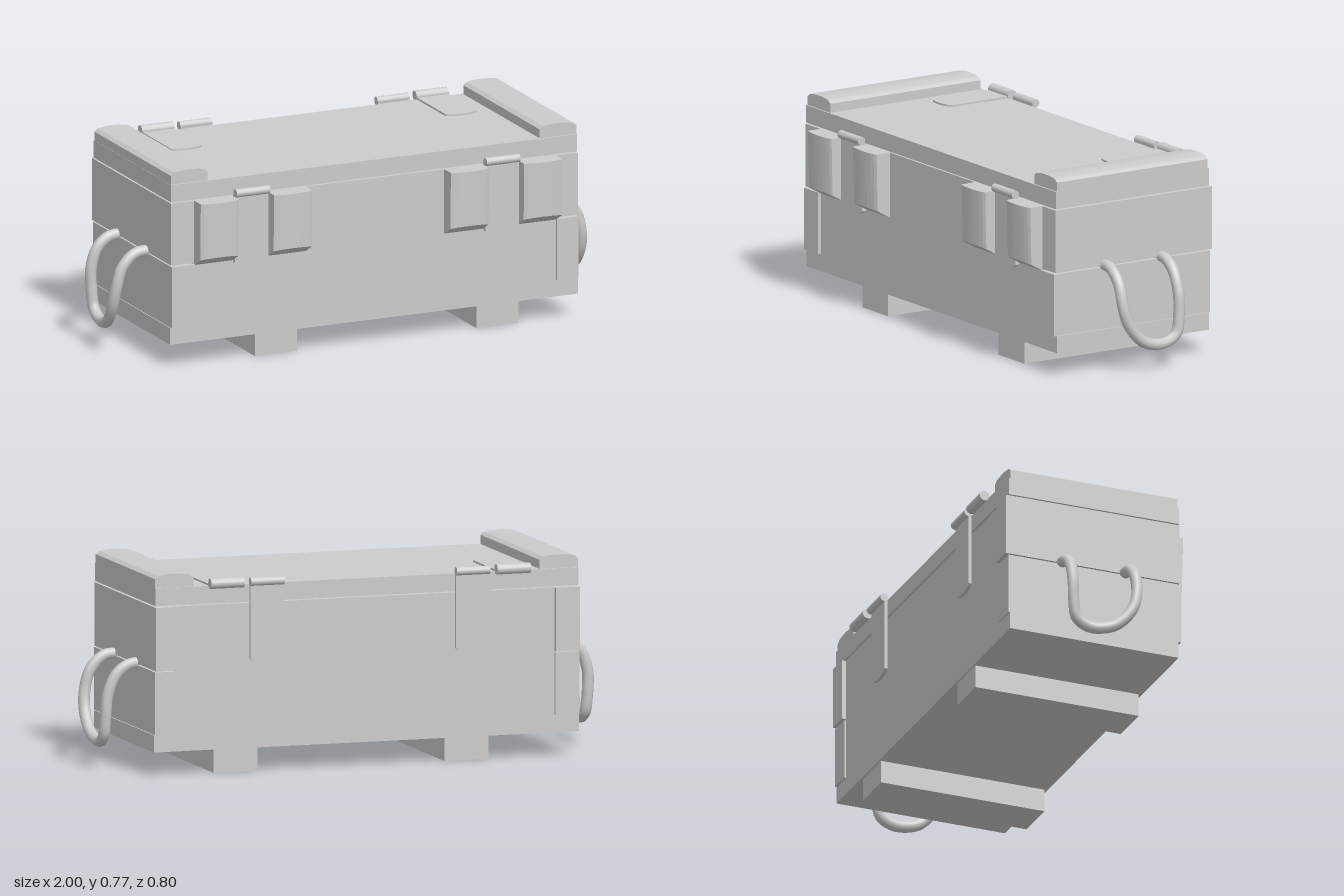
import * as THREE from 'three';

const material = new THREE.MeshStandardMaterial({ color: 0xcccccc });

function add(parent, name, geometry) {
  const mesh = new THREE.Mesh(geometry, material);
  mesh.name = name;
  parent.add(mesh);
  return mesh;
}

// Box given by its limits on each axis
function box(parent, name, [x0, x1], [y0, y1], [z0, z1]) {
  const geometry = new THREE.BoxGeometry(x1 - x0, y1 - y0, z1 - z0);
  geometry.translate((x0 + x1) / 2, (y0 + y1) / 2, (z0 + z1) / 2);
  return add(parent, name, geometry);
}

// Cylinder lying along x
function rod(parent, name, x0, x1, y, z, radius) {
  const geometry = new THREE.CylinderGeometry(radius, radius, x1 - x0, 16);
  geometry.rotateZ(Math.PI / 2);
  geometry.translate((x0 + x1) / 2, y, z);
  return add(parent, name, geometry);
}

// Thin strap hanging down from y = 0, with a gently rounded lower end
function strapGeometry(width, length, thickness) {
  const w = width / 2, r = 0.025;
  const shape = new THREE.Shape();
  shape.moveTo(-w, 0);
  shape.lineTo(-w, -length + r);
  shape.bezierCurveTo(-w * 0.7, -length, w * 0.7, -length, w, -length + r);
  shape.lineTo(w, 0);
  return new THREE.ExtrudeGeometry(shape, { depth: thickness, bevelEnabled: false, curveSegments: 8 });
}

// Latch guard: bowed front face, chamfered underneath, slightly tapered
function guardGeometry(width) {
  const w = width / 2, height = 0.253;
  const shape = new THREE.Shape();
  shape.moveTo(-w, 0);
  shape.lineTo(w, 0);
  shape.lineTo(w, 0.06);
  shape.bezierCurveTo(w * 0.7, 0.077, -w * 0.7, 0.077, -w, 0.06);
  const geometry = new THREE.ExtrudeGeometry(shape, { depth: height, bevelEnabled: false, curveSegments: 8 });
  geometry.rotateX(Math.PI / 2);
  const p = geometry.attributes.position;
  for (let i = 0; i < p.count; i++) {
    if (p.getY(i) < -height / 2) {
      const z = p.getZ(i);
      p.setXYZ(i, p.getX(i), p.getY(i) + z * 0.52, z * 0.92);
    }
  }
  geometry.computeVertexNormals();
  return geometry;
}

function createLatch(x) {
  const latch = new THREE.Group();
  latch.name = 'latch';
  for (const s of [-1, 1]) {
    add(latch, 'latchGuard', guardGeometry(0.16)).position.set(s * 0.153, 0.645, 0.328);
  }
  add(latch, 'latchStrap', strapGeometry(0.14, 0.3, 0.018)).position.set(0, 0.66, 0.328);
  rod(latch, 'latchPin', -0.07, 0.07, 0.659, 0.347, 0.016);
  latch.position.x = x;
  return latch;
}

// Hinge with one leaf on the lid and one down the back; side is +1 or -1
function createHinge(side) {
  const hinge = new THREE.Group();
  hinge.name = 'hinge';
  const outer = side * 0.573, inner = side * 0.412;
  rod(hinge, 'outerKnuckle', outer - 0.067, outer + 0.067, 0.728, -0.382, 0.02);
  rod(hinge, 'innerKnuckle', inner - 0.067, inner + 0.067, 0.728, -0.382, 0.016);
  const lidLeaf = add(hinge, 'lidLeaf', strapGeometry(0.13, 0.29, 0.01));
  lidLeaf.rotation.x = -Math.PI / 2;
  lidLeaf.position.set(outer, 0.715, -0.375);
  const backLeaf = add(hinge, 'backLeaf', strapGeometry(0.13, 0.32, 0.012));
  backLeaf.position.set(inner, 0.728, -0.379);
  hinge.position.x = -0.003;
  return hinge;
}

// Drooping carrying loop; side is +1 or -1, lean swings its rear leg inward
function createHandle(side, lean) {
  const points = [
    [0.83, 0.405, 0.108], [0.89, 0.4, 0.108], [0.945, 0.35, 0.108], [0.97, 0.27, 0.106],
    [0.977, 0.2, 0.088], [0.977, 0.14, 0.045], [0.974, 0.11, 0], [0.973, 0.1, -0.08],
    [0.975, 0.13, -0.133], [0.974, 0.2, -0.147], [0.965, 0.29, -0.15], [0.93, 0.365, -0.15],
    [0.88, 0.4, -0.15], [0.83, 0.405, -0.15],
  ].map(([x, y, z]) => new THREE.Vector3(side * (x - lean * (0.11 - z) * (0.405 - y)), y, z));
  return new THREE.TubeGeometry(new THREE.CatmullRomCurve3(points), 56, 0.022, 10);
}

// Crowned batten across one end of the lid
function battenGeometry() {
  const shape = new THREE.Shape();
  shape.moveTo(-0.077, 0);
  shape.lineTo(0.077, 0);
  shape.lineTo(0.077, 0.037);
  shape.lineTo(0.062, 0.048);
  shape.quadraticCurveTo(0, 0.06, -0.062, 0.048);
  shape.lineTo(-0.077, 0.037);
  const geometry = new THREE.ExtrudeGeometry(shape, { depth: 0.685, bevelEnabled: false, curveSegments: 6 });
  geometry.translate(0, 0, -0.36);
  return geometry;
}

export function createModel() {
  const crate = new THREE.Group();
  crate.name = 'crate';

  // Box body and lid
  box(crate, 'base', [-0.848, 0.855], [0.09, 0.156], [-0.363, 0.328]);
  box(crate, 'body', [-0.755, 0.765], [0.15, 0.645], [-0.363, 0.328]);
  box(crate, 'lid', [-0.845, 0.85], [0.65, 0.718], [-0.367, 0.331]);

  // Feet
  for (const x of [-0.4, 0.525]) {
    box(crate, 'foot', [x - 0.088, x + 0.088], [0, 0.092], [-0.355, 0.315]);
  }

  // End boards, lid battens, handles and hinges
  for (const side of [-1, 1]) {
    const x = side > 0 ? [0.762, 0.852] : [-0.846, -0.75];
    box(crate, 'lowerEndBoard', x, [0.157, 0.397], [-0.37, 0.34]);
    box(crate, 'upperEndBoard', x, [0.402, 0.645], [-0.379, 0.333]);
    add(crate, 'lidBatten', battenGeometry()).position.set(side * 0.77 + 0.003, 0.716, 0);
    add(crate, 'handle', createHandle(side, side < 0 ? 0.35 : 0));
    crate.add(createHinge(side));
  }

  // Front latches
  crate.add(createLatch(-0.515), createLatch(0.529));
  return crate;
}
